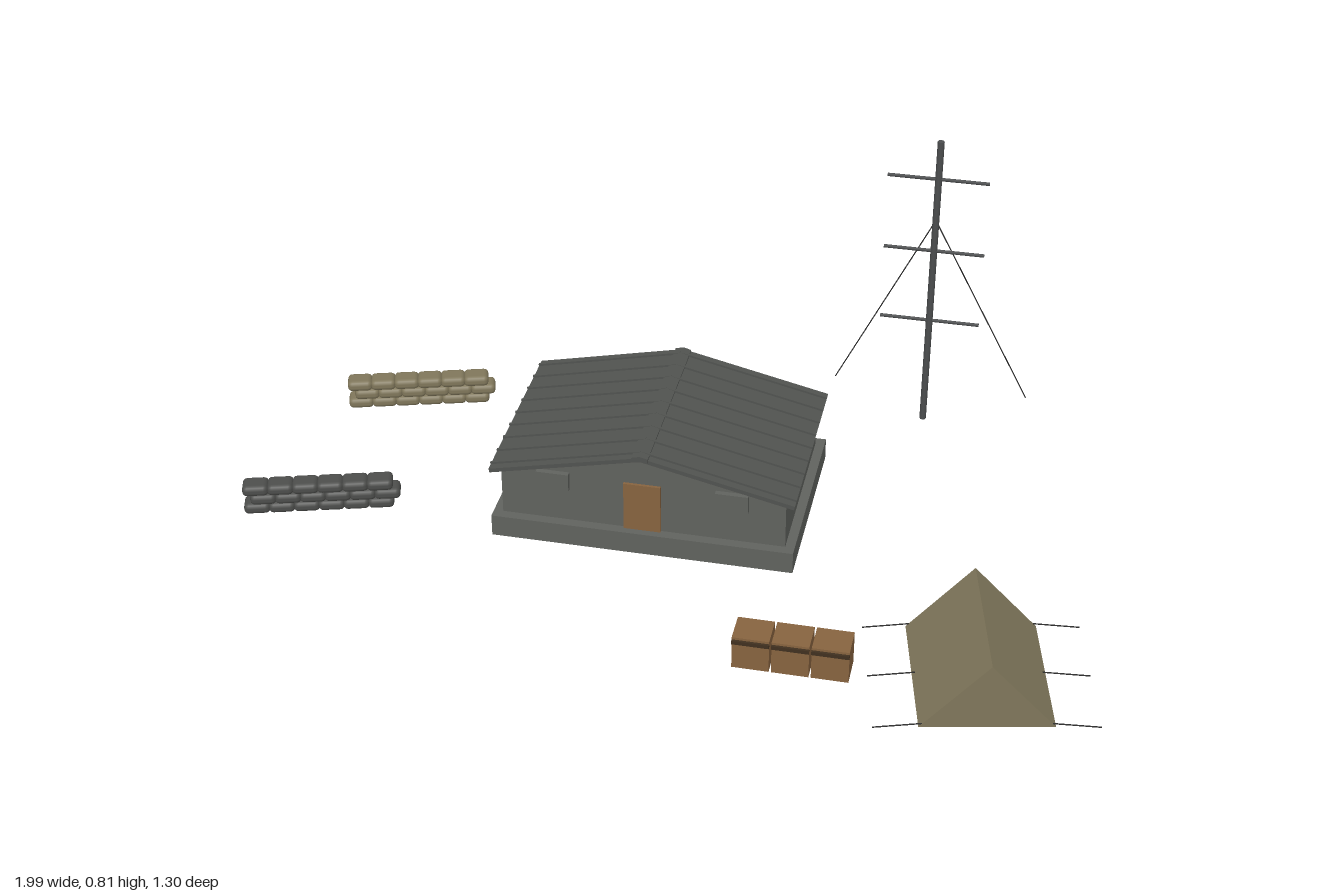
import * as THREE from 'three';
import { RoundedBoxGeometry } from 'three/addons/geometries/RoundedBoxGeometry.js';

const mat = (name, color) => {
  const m = new THREE.MeshStandardMaterial({ color });
  m.name = name;
  return m;
};

export function createModel() {
  const concrete = mat('concrete', 0x60625e);
  const roofing = mat('roofing', 0x515350);
  const metal = mat('metal', 0x4c4e4f);
  const wire = mat('wire', 0x2c2c2c);
  const canvas = mat('canvas', 0x80775b);
  const greyBag = mat('grey sandbag', 0x4d4e4c);
  const wood = mat('wood', 0x87633f);
  const darkWood = mat('dark wood', 0x40301f);

  const GROUND = 0.053;
  const model = new THREE.Group();
  model.name = 'outpost';

  const add = (parent, name, geo, material, x = 0, y = 0, z = 0) => {
    const mesh = new THREE.Mesh(geo, material);
    mesh.name = name;
    mesh.position.set(x, y, z);
    parent.add(mesh);
    return mesh;
  };
  const box = (parent, name, material, w, h, d, x, y, z) =>
    add(parent, name, new THREE.BoxGeometry(w, h, d), material, x, y, z);
  // Thin round bar between two points
  const bar = (parent, name, material, r, a, b, sides = 6) => {
    const p = new THREE.Vector3(...a), q = new THREE.Vector3(...b);
    const dir = q.clone().sub(p);
    const mesh = add(parent, name, new THREE.CylinderGeometry(r, r, dir.length(), sides), material);
    mesh.position.copy(p).add(q).multiplyScalar(0.5);
    mesh.quaternion.setFromUnitVectors(new THREE.Vector3(0, 1, 0), dir.normalize());
    return mesh;
  };
  // Outline extruded along z, centred
  const prism = (points, depth) => {
    const shape = new THREE.Shape(points.map(([x, y]) => new THREE.Vector2(x, y)));
    return new THREE.ExtrudeGeometry(shape, { depth, bevelEnabled: false }).translate(0, 0, -depth / 2);
  };
  const group = (name, x, y, z, turn = 0) => {
    const g = new THREE.Group();
    g.name = name;
    g.position.set(x, y, z);
    g.rotation.y = turn;
    model.add(g);
    return g;
  };

  // Bunker: slab, walls with gables, door and window hoods
  const hut = group('bunker', -0.075, 0, -0.129);
  box(hut, 'foundation', concrete, 0.706, 0.054, 0.47, 0, 0.027, 0);
  add(hut, 'walls', prism([[-0.331, 0.05], [0.331, 0.05], [0.331, 0.18], [0, 0.254], [-0.331, 0.18]], 0.423), concrete);
  box(hut, 'door', wood, 0.086, 0.124, 0.012, 0, 0.116, 0.212);
  for (const s of [-1, 1]) {
    box(hut, 'windowHood', concrete, 0.076, 0.046, 0.02, s * 0.208, 0.163, 0.214);
  }

  // Roof: two sloping panels with raised seams and a ridge cap
  const pitch = Math.atan2(0.08, 0.353);
  const slope = Math.hypot(0.08, 0.353);
  for (const s of [-1, 1]) {
    const panel = new THREE.Group();
    panel.name = 'roofPanel';
    panel.position.set(s * 0.1765, 0.2205, 0);
    panel.rotation.z = -s * pitch;
    hut.add(panel);
    box(panel, 'sheet', roofing, slope, 0.01, 0.47, 0, 0, 0);
    for (let i = -4; i <= 4; i++) {
      box(panel, 'seam', roofing, slope, 0.006, 0.006, 0, 0.007, i * 0.0533);
    }
  }
  add(hut, 'ridgeCap', prism([[-0.019, 0.255], [0.019, 0.255], [0.019, 0.265], [0, 0.27], [-0.019, 0.265]], 0.472), roofing);

  // Antenna mast with crossbars and two guy wires
  const mast = group('mast', 0.495, 0, -0.508);
  bar(mast, 'pole', metal, 0.008, [0, GROUND, 0], [0, 0.81, 0], 8);
  for (const y of [0.334, 0.524, 0.713]) {
    bar(mast, 'crossbar', metal, 0.004, [-0.118, y, 0], [0.118, y, 0]);
  }
  for (const s of [-1, 1]) {
    bar(mast, 'guyWire', wire, 0.0015, [0, 0.605, 0], [s * 0.239, GROUND, -0.144], 5);
  }

  // Sandbag walls: three staggered courses of six bags
  const bag = new RoundedBoxGeometry(0.06, 0.027, 0.05, 2, 0.011);
  const sandbags = (x, z, material) => {
    const pile = group('sandbagWall', x, GROUND, z, 0.29);
    for (let row = 0; row < 3; row++) {
      for (let i = 0; i < 6; i++) {
        const shift = row === 1 ? 0.014 : -0.002;
        add(pile, 'sandbag', bag, material, (i - 2.5) * 0.057 + shift, 0.013 + row * 0.0245, 0);
      }
    }
  };
  sandbags(-0.826, 0.15, greyBag);
  sandbags(-0.733, -0.323, canvas);

  // Crates with a dark strap across the front
  for (let i = 0; i < 3; i++) {
    const crate = group('crate', 0.257 + i * 0.085, GROUND, 0.485);
    box(crate, 'body', wood, 0.08, 0.08, 0.07, 0, 0.04, 0);
    box(crate, 'strap', darkWood, 0.08, 0.009, 0.009, 0, 0.07, 0.036);
  }

  // Ridge tent with pegged guy lines
  const tent = group('tent', 0.7315, GROUND, 0.438, 0.21);
  add(tent, 'tentCanvas', prism([[-0.141, 0], [0.141, 0], [0, 0.158]], 0.327), canvas);
  for (const s of [-1, 1]) {
    for (const z of [-0.162, 0, 0.162]) {
      bar(tent, 'guyLine', wire, 0.0015, [s * 0.134, 0.008, z], [s * 0.235, -0.002, z], 5);
    }
  }
  return model;
}
